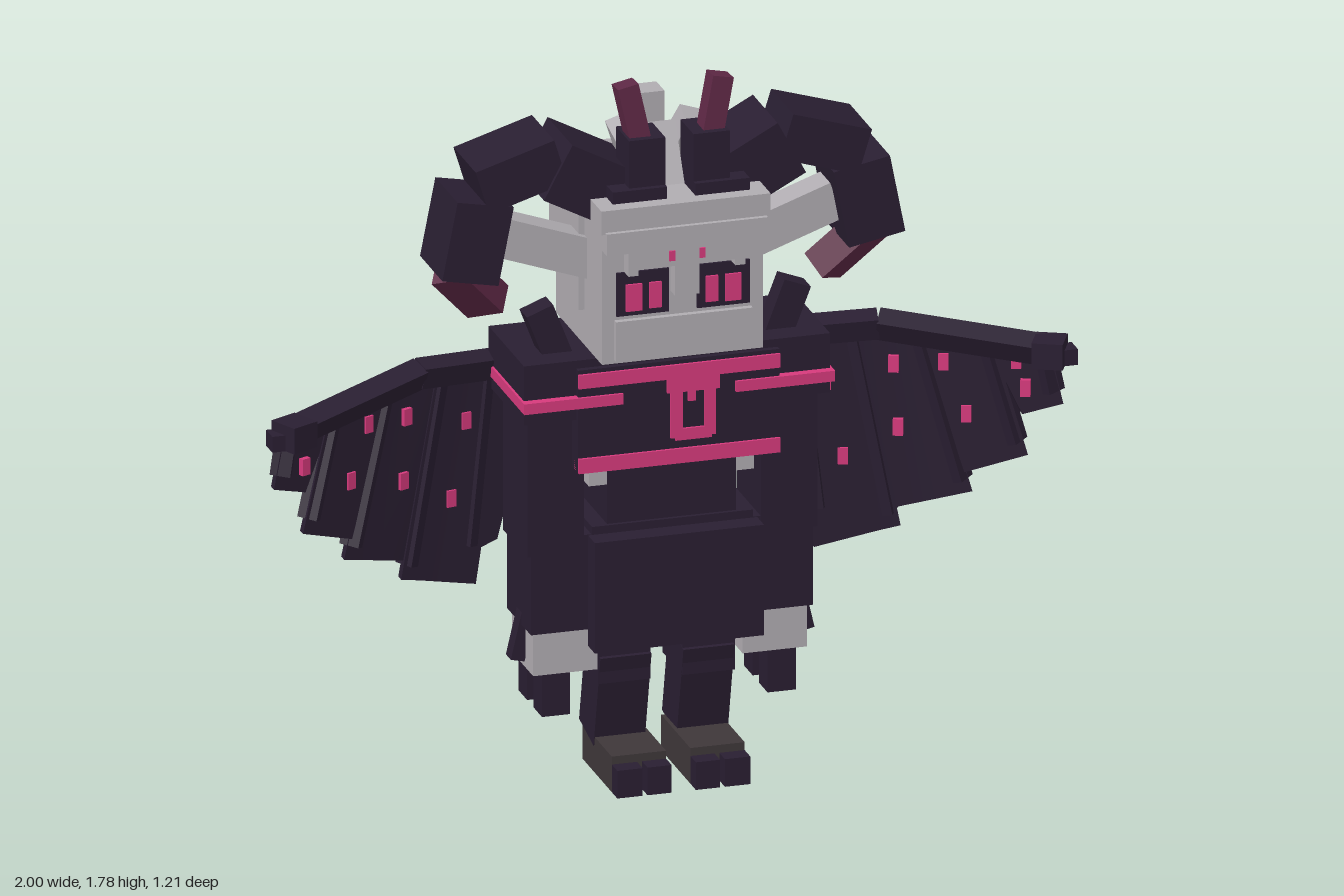
import * as THREE from 'three';

const mat = (name, color) => {
  const m = new THREE.MeshStandardMaterial({ color });
  m.name = name;
  return m;
};

export function createModel() {
  const dark = mat('dark purple', 0x291e31);
  const gray = mat('bone gray', 0xb0acb1);
  const pink = mat('hot pink', 0xd63a7c);
  const plum = mat('plum', 0x5e2845);
  const charcoal = mat('charcoal', 0x3e3739);
  const root = new THREE.Group();
  root.name = 'hornedCreature';

  const add = (name, geo, m) => {
    const mesh = new THREE.Mesh(geo, m);
    mesh.name = name;
    root.add(mesh);
    return mesh;
  };
  // Box given by its limits on each axis
  const box = (name, m, x0, x1, y0, y1, z0, z1) => {
    const b = add(name, new THREE.BoxGeometry(Math.abs(x1 - x0), y1 - y0, z1 - z0), m);
    b.position.set((x0 + x1) / 2, (y0 + y1) / 2, (z0 + z1) / 2);
    return b;
  };
  const mid = (name, m, hw, y0, y1, z0, z1) => box(name, m, -hw, hw, y0, y1, z0, z1);
  // Square bar running between two points
  const bar = (name, m, a, b, w, d) => {
    const p = new THREE.Vector3(...a), q = new THREE.Vector3(...b);
    const mesh = add(name, new THREE.BoxGeometry(w, p.distanceTo(q), d), m);
    mesh.position.copy(p).add(q).multiplyScalar(0.5);
    mesh.quaternion.setFromUnitVectors(new THREE.Vector3(0, 1, 0), q.sub(p).normalize());
    return mesh;
  };

  // Head, hair and face relief
  mid('head', gray, 0.2, 1.1, 1.5, 0.19, 0.56);
  mid('brow', gray, 0.21, 1.44, 1.5, 0.5, 0.588);
  mid('forehead', gray, 0.2, 1.39, 1.445, 0.5, 0.6);
  mid('nose', gray, 0.03, 1.27, 1.39, 0.55, 0.598);
  mid('browRidge', gray, 0.145, 1.345, 1.39, 0.55, 0.595);
  mid('muzzle', gray, 0.17, 1.11, 1.21, 0.55, 0.575);
  mid('hairSides', gray, 0.215, 1.19, 1.47, 0.24, 0.42);
  mid('backHairTop', gray, 0.2, 1.38, 1.5, 0.15, 0.25);
  mid('backHair', gray, 0.2, 1.25, 1.4, 0.135, 0.25);
  const mane = mid('longMane', gray, 0.16, 0.347, 1.48, 0.095, 0.165);
  mane.rotation.x = -0.05;

  // Central hair tufts
  mid('centreTuft', gray, 0.032, 1.48, 1.68, 0.245, 0.31);
  bar('frontTuft', gray, [0, 1.48, 0.44], [0, 1.62, 0.36], 0.07, 0.06);

  // Chest, hips and loincloth
  mid('shoulders', dark, 0.38, 0.95, 1.1, 0.23, 0.515);
  mid('chestPlate', dark, 0.25, 0.82, 1.08, 0.25, 0.53);
  mid('upperTrim', pink, 0.25, 1.035, 1.07, 0.5, 0.537);
  mid('lowerTrim', pink, 0.25, 0.82, 0.857, 0.5, 0.537);
  mid('belly', dark, 0.16, 0.6, 0.85, 0.28, 0.47);
  mid('hips', dark, 0.2, 0.4, 0.66, 0.26, 0.48);
  mid('loincloth', dark, 0.21, 0.36, 0.64, 0.48, 0.535);

  // Open buckle on the chest made of bars
  [[-0.03, 0.1, 1.0, 1.04], [-0.022, 0.008, 0.885, 1.005], [0.062, 0.09, 0.885, 1.005],
    [-0.01, 0.08, 0.878, 0.907], [0.022, 0.04, 0.975, 1.005]]
    .forEach(([a, b, c, d]) => box('chestBuckle', pink, a, b, c, d, 0.53, 0.537));

  // Depth of the swept wing at a given span
  const wingZ = x => x < 0.6 ? 0.2 + 0.22 * (x - 0.25) : 0.277 + 0.42 * (x - 0.6);
  // Panel corners: top inner, top outer, bottom outer, bottom inner
  const panels = [
    [[0.24, 1.0], [0.4, 1.02], [0.46, 0.53], [0.36, 0.56]],
    [[0.33, 1.02], [0.52, 1.03], [0.62, 0.51], [0.42, 0.46]],
    [[0.5, 1.03], [0.67, 1.02], [0.78, 0.6], [0.6, 0.55]],
    [[0.65, 1.02], [0.82, 1.0], [0.9, 0.7], [0.76, 0.65]],
    [[0.8, 1.0], [0.95, 0.97], [0.98, 0.83], [0.89, 0.8]],
  ];
  const spots = [[0.45, 0.88], [0.49, 0.69], [0.61, 0.92], [0.62, 0.76],
    [0.72, 0.93], [0.77, 0.8], [0.9, 0.87], [0.88, 0.94]];

  for (const s of [1, -1]) {
    const side = s > 0 ? 'left' : 'right';
    const sb = (n, m, x0, x1, ...r) => box(side + n, m, s * x0, s * x1, ...r);
    const sbar = (n, m, [x, y, z], [u, v, w], ...r) => bar(side + n, m, [s * x, y, z], [s * u, v, w], ...r);

    // Eyes
    sb('EyeSocket', dark, 0.035, 0.165, 1.22, 1.33, 0.56, 0.566);
    sb('EyeOuter', pink, 0.103, 0.143, 1.232, 1.3, 0.566, 0.572);
    sb('EyeInner', pink, 0.055, 0.085, 1.235, 1.3, 0.566, 0.572);
    sb('BrowMark', pink, 0.03, 0.045, 1.36, 1.385, 0.594, 0.6);
    sb('BrowPost', gray, 0.12, 0.145, 1.33, 1.4, 0.55, 0.595);

    // Ear, great curled horn and small horn
    sbar('Ear', gray, [0.18, 1.32, 0.4], [0.42, 1.405, 0.4], 0.098, 0.08);
    sbar('HornRoot', dark, [0.13, 1.49, 0.4], [0.29, 1.575, 0.4], 0.15, 0.2);
    sbar('HornArch', dark, [0.28, 1.6, 0.4], [0.475, 1.54, 0.4], 0.115, 0.18);
    sbar('HornCurl', dark, [0.467, 1.51, 0.4], [0.505, 1.315, 0.4], 0.142, 0.18);
    sbar('HornTip', plum, [0.52, 1.32, 0.39], [0.415, 1.205, 0.34], 0.075, 0.1);
    sb('Crown', dark, 0.035, 0.17, 1.49, 1.53, 0.36, 0.55);
    sb('SmallHornBase', dark, 0.035, 0.125, 1.49, 1.65, 0.43, 0.535);
    sbar('SmallHorn', plum, [0.09, 1.64, 0.49], [0.118, 1.775, 0.48], 0.052, 0.055);
    sbar('HairTuft', gray, [0.04, 1.5, 0.33], [0.09, 1.63, 0.38], 0.07, 0.08);

    // Shoulder spike and trim wrapping the shoulder
    sbar('ShoulderSpike', dark, [0.27, 1.08, 0.42], [0.32, 1.21, 0.42], 0.07, 0.06);
    sb('ShoulderTrimFront', pink, 0.14, 0.386, 0.985, 1.012, 0.515, 0.537);
    sb('ShoulderTrimSide', pink, 0.379, 0.386, 0.985, 1.012, 0.22, 0.53);
    sb('ShoulderTrimBack', pink, 0.14, 0.386, 0.985, 1.012, 0.205, 0.232);
    sb('HairLock', gray, 0.16, 0.205, 0.76, 0.84, 0.42, 0.47);

    // Arm and claws
    sb('Arm', dark, 0.22, 0.36, 0.6, 0.97, 0.28, 0.48);
    sb('Forearm', dark, 0.18, 0.35, 0.4, 0.64, 0.28, 0.475);
    sb('Cuff', gray, 0.18, 0.34, 0.29, 0.41, 0.29, 0.46);
    sbar('CuffSpike', dark, [0.33, 0.44, 0.38], [0.36, 0.31, 0.38], 0.035, 0.04);
    sb('FrontClaw', dark, 0.245, 0.315, 0.18, 0.3, 0.38, 0.45);
    sb('BackClaw', dark, 0.245, 0.315, 0.18, 0.3, 0.26, 0.33);

    // Leg, foot and toes
    sb('Thigh', dark, 0.04, 0.17, 0.24, 0.45, 0.27, 0.43);
    sbar('Shin', dark, [0.103, 0.32, 0.38], [0.103, 0.08, 0.325], 0.127, 0.12);
    sb('Foot', charcoal, 0.03, 0.165, 0, 0.09, 0.29, 0.525);
    sb('InnerToe', dark, 0.03, 0.09, 0, 0.07, 0.51, 0.57);
    sb('OuterToe', dark, 0.102, 0.165, 0, 0.07, 0.51, 0.57);

    // Wing membrane: boxes bent onto the swept wing surface
    panels.forEach(([ti, to, bo, bi], i) => {
      const g = new THREE.BoxGeometry(1, 1, 0.024, 4, 1, 1);
      const p = g.attributes.position, L = THREE.MathUtils.lerp;
      for (let k = 0; k < p.count; k++) {
        const u = s > 0 ? p.getX(k) + 0.5 : 0.5 - p.getX(k), v = p.getY(k) + 0.5;
        const x = L(L(bi[0], bo[0], u), L(ti[0], to[0], u), v);
        const y = L(L(bi[1], bo[1], u), L(ti[1], to[1], u), v);
        p.setXYZ(k, s * x, y, wingZ(x) + p.getZ(k) + (i % 2) * 0.008);
      }
      g.computeVertexNormals();
      add(side + 'WingPanel', g, dark);
      // Raised rib on the panel's outer edge
      sbar('WingRib', dark, [to[0] - 0.01, to[1], wingZ(to[0])], [bo[0] - 0.02, bo[1] + 0.03, wingZ(bo[0])], 0.025, 0.05);
    });
    spots.forEach(([x, y]) => {
      const d = add(side + 'WingSpot', new THREE.BoxGeometry(0.024, 0.042, 0.042), pink);
      d.position.set(s * x, y, wingZ(x) + 0.004);
      d.rotation.y = -s * (x < 0.6 ? 0.22 : 0.4);
    });

    // Wing arm bones
    const bones = [[0.27, 1.0, 0.215], [0.57, 1.02, 0.285], [0.96, 0.97, 0.465]];
    bones.slice(1).forEach((b, i) => sbar('WingBone', dark, bones[i], b, 0.055, 0.055));
    const tip = sb('WingTip', dark, 0.9, 0.975, 0.945, 1.01, 0.435, 0.515);
    tip.rotation.y = -s * 0.45;
    sb('WingTipClaw', dark, 0.955, 1.0, 0.945, 0.985, 0.45, 0.5);

    // Bony claws clasping the mane
    sbar('UpperBackBone', gray, [-0.04, 0.96, 0.1], [0.09, 0.8, 0.06], 0.05, 0.04);
    sbar('UpperBackCrossBone', gray, [0.02, 0.77, 0.1], [0.11, 0.89, 0.07], 0.045, 0.04);
    sbar('UpperBackClaw', dark, [0.08, 0.8, 0.07], [0.16, 0.64, 0.045], 0.045, 0.045);
    sbar('UpperBackInnerClaw', dark, [0.05, 0.79, 0.1], [0.1, 0.65, 0.1], 0.04, 0.045);
    sbar('LowerBackBone', gray, [0.0, 0.61, 0.13], [0.1, 0.46, 0.04], 0.055, 0.06);
    sbar('LowerBackClaw', dark, [0.09, 0.46, 0.035], [0.2, 0.36, -0.01], 0.05, 0.05);

    // One arm of the crossed tail end
    sbar('TailCross', pink, [-0.097, 0.37, -0.552], [0.097, 0.5, -0.585], 0.08, 0.045);
  }

  // Tail
  mid('backKnot', dark, 0.035, 0.96, 1.03, 0.07, 0.12);
  bar('tailRoot', gray, [0, 0.6, 0.15], [0, 0.55, 0.05], 0.07, 0.06);
  bar('tailBase', dark, [0, 0.56, 0.08], [0, 0.525, -0.03], 0.06, 0.06);
  bar('tailMiddle', dark, [0, 0.53, -0.02], [0, 0.54, -0.3], 0.048, 0.044);
  bar('tailThin', dark, [0, 0.54, -0.29], [0, 0.465, -0.57], 0.026, 0.026);
  return root;
}
